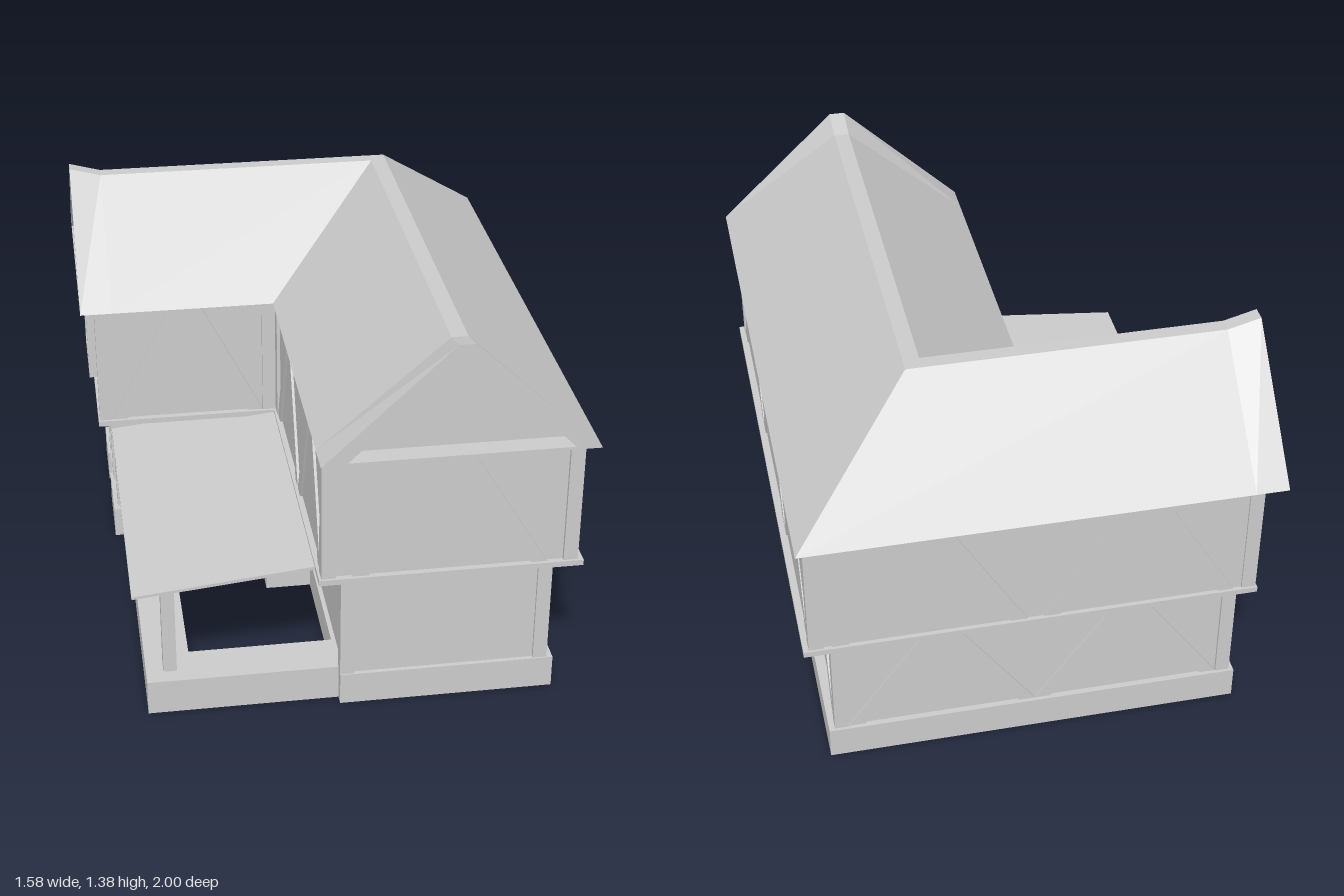
import * as THREE from 'three';

const material = new THREE.MeshStandardMaterial({ color: 0xcccccc, flatShading: true });

function add(parent, name, geometry) {
  const mesh = new THREE.Mesh(geometry, material);
  mesh.name = name;
  parent.add(mesh);
  return mesh;
}

// Box given by its limits on each axis
function box(parent, name, x0, x1, y0, y1, z0, z1) {
  const mesh = add(parent, name, new THREE.BoxGeometry(x1 - x0, y1 - y0, z1 - z0));
  mesh.position.set((x0 + x1) / 2, (y0 + y1) / 2, (z0 + z1) / 2);
  return mesh;
}

function polygon(points) {
  return new THREE.Shape(points.map(([x, y]) => new THREE.Vector2(x, y)));
}

function plate(parent, name, shape, depth, z = 0) {
  const mesh = add(parent, name, new THREE.ExtrudeGeometry(shape, { depth, bevelEnabled: false }));
  mesh.position.z = z;
  return mesh;
}

// Timber framing on one wall face; local x runs along the wall, z points outward
function timberFace(parent, name, x, z, turn, width, y0, y1, pairs, relief) {
  const face = new THREE.Group();
  face.name = name;
  face.position.set(x, 0, z);
  face.rotation.y = turn;
  parent.add(face);
  const h = width / 2, post = 0.048;
  for (const s of [-1, 1]) {
    const c = s * (h - post / 2);
    box(face, 'cornerPost', c - post / 2, c + post / 2, y0, y1, -0.03, 0);
  }
  const span = (width - 2 * post) / Math.max(pairs, 1);
  const foot = Math.min(0.322, span / 2);
  for (let i = 0; i < pairs; i++) {
    const c = -h + post + span * (i + 0.5);
    for (const s of [-1, 1]) {
      const points = [[foot, y0], [0.043, y1], [-0.012, y1], [foot - 0.055, y0]];
      plate(face, 'brace', polygon(points.map(([px, py]) => [c + s * Math.max(px, 0), py])), 0.03, relief - 0.045);
    }
  }
  return face;
}

// Rectangular surround with an opening
function surround(parent, name, w, y0, y1, border, sill, depth) {
  const shape = polygon([[-w, y0], [w, y0], [w, y1], [-w, y1]]);
  const b = w - border;
  shape.holes.push(polygon([[-b, y0 + sill], [-b, y1 - border], [b, y1 - border], [b, y0 + sill]]));
  return plate(parent, name, shape, depth);
}

// Mitred L-shaped roof with recessed gables, lofted from ring to ring
function roofGeometry() {
  const xc = 0.34, zc = -0.575, hw = 0.445, hd = 0.42;
  const outer = (r) => [[-1, 0.99], [-0.06, r], [0.06, r], [1, 0.99]];
  const inner = [[-0.81, 1.0], [-0.02, 1.345], [0.02, 1.345], [0.81, 1.0]];
  const middle = inner.map(() => [0, 1.1]);
  const wing = (s, p) => p.map(([u, y]) => [s, y, zc - u * hd]);
  const main = (s, p) => p.map(([u, y]) => [xc + u * hw, y, s]);
  const rings = [
    wing(-0.73, middle), wing(-0.73, inner), wing(-0.79, inner), wing(-0.79, outer(1.385)),
    wing(-0.68, outer(1.355)),
    outer(1.355).map(([u, y]) => [xc + u * hw, y, zc - u * hd]),
    main(0.89, outer(1.355)),
    main(1, outer(1.385)), main(1, inner), main(0.93, inner), main(0.93, middle),
  ];
  const positions = [];
  for (let i = 0; i + 1 < rings.length; i++) {
    for (let j = 0; j < 4; j++) {
      const k = (j + 1) % 4;
      const a = rings[i][j], b = rings[i][k], c = rings[i + 1][j], d = rings[i + 1][k];
      positions.push(...a, ...c, ...d, ...a, ...d, ...b);
    }
  }
  const geometry = new THREE.BufferGeometry();
  geometry.setAttribute('position', new THREE.Float32BufferAttribute(positions, 3));
  geometry.computeVertexNormals();
  return geometry;
}

export function createModel() {
  const house = new THREE.Group();
  house.name = 'timberHouse';
  const q = Math.PI / 2;

  // Foundation, notched at the side door
  box(house, 'foundation', -0.02, 0.705, 0, 0.115, -0.895, 0.89);
  box(house, 'wingFoundation', -0.67, -0.02, 0, 0.115, -0.895, -0.255);
  box(house, 'foundationBack', -0.705, -0.67, 0, 0.115, -0.895, -0.68);
  box(house, 'foundationFront', -0.705, -0.67, 0, 0.115, -0.53, -0.255);

  // Lower storey
  box(house, 'lowerWall', -0.005, 0.67, 0.01, 0.51, -0.875, 0.875);
  box(house, 'lowerWingWall', -0.672, -0.005, 0.01, 0.51, -0.875, -0.295);
  timberFace(house, 'lowerFront', 0.3325, 0.885, 0, 0.705, 0.115, 0.505, 0, 0.01);
  timberFace(house, 'lowerRight', 0.685, 0, q, 1.77, 0.115, 0.505, 3, 0.012);
  timberFace(house, 'lowerBack', -0.0025, -0.885, 2 * q, 1.375, 0.115, 0.505, 2, 0.012);
  timberFace(house, 'lowerWingFront', -0.355, -0.28, 0, 0.67, 0.115, 0.505, 0, 0.01);
  timberFace(house, 'lowerCourt', -0.02, 0.3025, -q, 1.165, 0.115, 0.505, 0, 0.01);
  const wingEnd = timberFace(house, 'lowerWingEnd', -0.69, -0.5825, -q, 0.605, 0.115, 0.505, 0, 0.01);

  // Doors
  const sideDoor = surround(wingEnd, 'sideDoorSurround', 0.13, 0.115, 0.45, 0.04, 0.0, 0.025);
  sideDoor.position.set(-0.022, 0, -0.02);
  const courtDoor = new THREE.Group();
  courtDoor.name = 'courtDoor';
  courtDoor.position.set(-0.025, 0, 0.04);
  courtDoor.rotation.y = -q;
  house.add(courtDoor);
  surround(courtDoor, 'courtDoorSurround', 0.13, 0.08, 0.44, 0.035, 0.0, 0.015);
  box(house, 'doorStep', -0.18, -0.02, 0, 0.08, -0.1, 0.18);

  // Floor ledge under the overhanging storey
  box(house, 'ledge', -0.098, 0.775, 0.505, 0.525, -0.928, 0.928);
  box(house, 'wingLedge', -0.745, -0.098, 0.505, 0.525, -0.928, -0.21);

  // Upper storey
  box(house, 'upperWall', -0.078, 0.751, 0.52, 0.992, -0.913, 0.908);
  box(house, 'upperWingWall', -0.728, -0.078, 0.52, 0.992, -0.913, -0.232);
  timberFace(house, 'upperFront', 0.3335, 0.92, 0, 0.847, 0.525, 0.99, 1, 0.012);
  timberFace(house, 'upperRight', 0.757, 0, q, 1.84, 0.525, 0.99, 3, 0.013);
  timberFace(house, 'upperBack', 0.0085, -0.92, 2 * q, 1.497, 0.525, 0.99, 2, 0.013);
  timberFace(house, 'upperWingFront', -0.415, -0.22, 0, 0.65, 0.525, 0.99, 1, 0.012);
  timberFace(house, 'upperCourt', -0.09, 0.35, -q, 1.14, 0.525, 0.99, 2, 0.012);
  const upperEnd = timberFace(house, 'upperWingEnd', -0.74, -0.57, -q, 0.7, 0.525, 0.99, 0, 0.012);

  // Window on the wing end
  const windowFrame = surround(upperEnd, 'windowFrame', 0.15, 0.6, 0.93, 0.045, 0.045, 0.04);
  windowFrame.position.z = -0.015;
  surround(upperEnd, 'windowSash', 0.106, 0.644, 0.886, 0.025, 0.025, 0.015).position.z = -0.012;

  // Roof
  add(house, 'roof', roofGeometry());

  // Porch: kerb, post and sloping roof
  box(house, 'porchSideKerb', -0.66, -0.51, 0, 0.125, -0.26, 0.855);
  box(house, 'porchFrontKerb', -0.51, -0.015, 0, 0.125, 0.7, 0.855);
  box(house, 'porchPost', -0.602, -0.557, 0.12, 0.455, 0.755, 0.8);
  const slope = polygon([[-0.697, 0.443], [-0.09, 0.505], [-0.09, 0.517], [-0.697, 0.453]]);
  plate(house, 'porchRoof', slope, 1.11, -0.28);

  return house;
}
